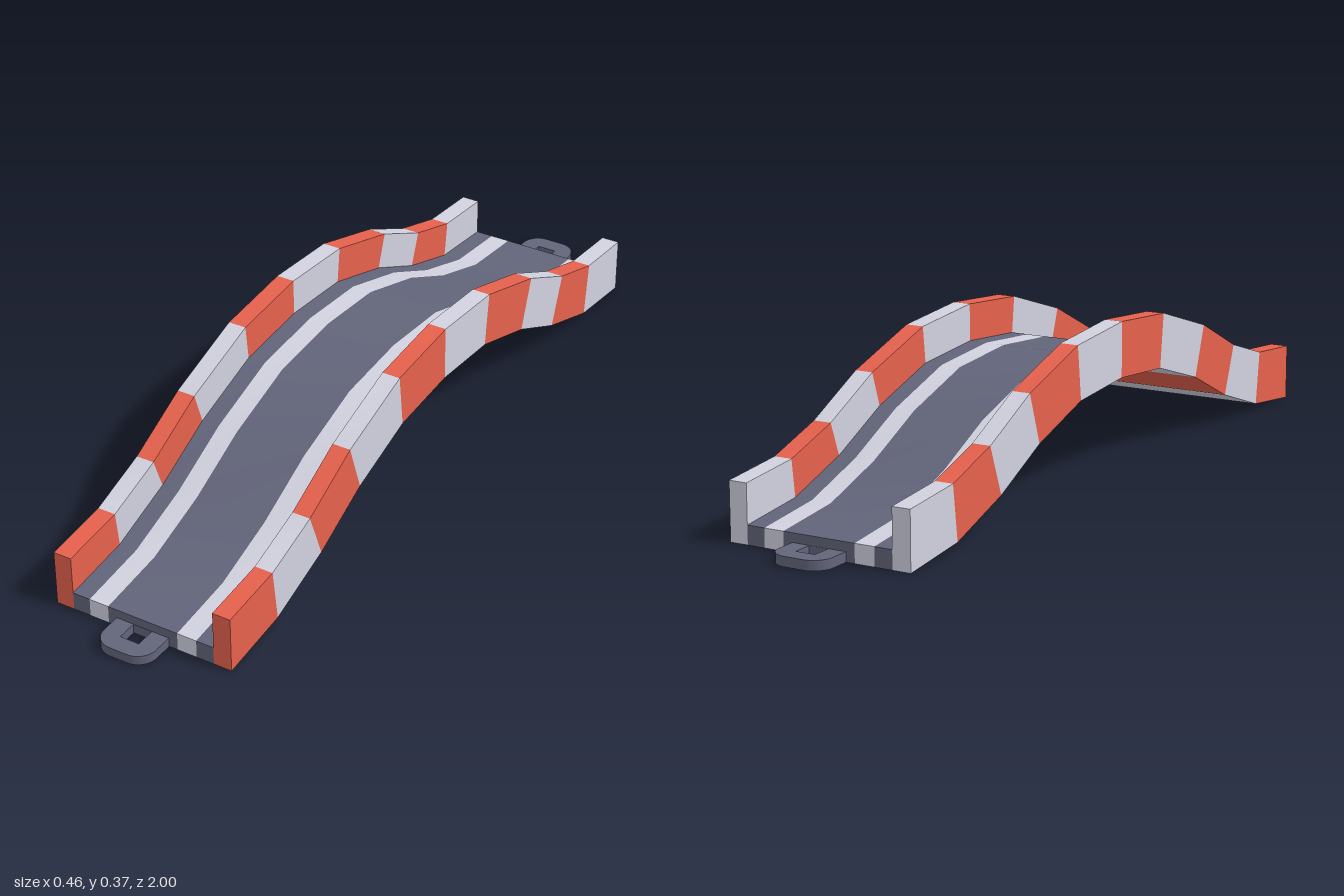
import * as THREE from 'three';
import { toCreasedNormals } from 'three/addons/utils/BufferGeometryUtils.js';

const mat = (name, color) => new THREE.MeshStandardMaterial({ name, color, side: THREE.DoubleSide });

// Half of the arch, end to crown: [bottom z, bottom y, top z, top y]
const HALF = [
  [0.908, 0.0, 0.908, 0.137],
  [0.725, 0.02, 0.742, 0.152],
  [0.545, 0.08, 0.59, 0.2],
  [0.38, 0.158, 0.422, 0.281],
  [0.193, 0.217, 0.208, 0.348],
  [0, 0.232, 0, 0.365],
];
const STATIONS = [
  ...HALF,
  ...HALF.slice(0, -1).reverse().map(([bz, by, tz, ty]) => [-bz, by, -tz, ty]),
];

const OUTER = 0.228, INNER = 0.183, STRIPE_OUT = 0.139, STRIPE_IN = 0.09;
const DECK = 0.325; // deck level as a fraction of the full section height

// Point of the section at station s: x across, f from bottom (0) to top (1)
function pointAt(s, x, f) {
  const [bz, by, tz, ty] = s;
  return [x, by + (ty - by) * f, bz + (tz - bz) * f];
}

// Sweeps an edge a-b along the arch; pick(i) gives the material index of segment i
function sweep(name, a, b, materials, pick) {
  const position = [], index = [];
  const geometry = new THREE.BufferGeometry();
  STATIONS.forEach((s, i) => {
    position.push(...pointAt(s, ...a), ...pointAt(s, ...b));
    if (i === STATIONS.length - 1) return;
    const k = i * 2;
    index.push(k, k + 2, k + 1, k + 1, k + 2, k + 3);
    geometry.addGroup(i * 6, 6, pick(i));
  });
  geometry.setAttribute('position', new THREE.Float32BufferAttribute(position, 3));
  geometry.setIndex(index);
  geometry.computeVertexNormals();
  const mesh = new THREE.Mesh(geometry, materials);
  mesh.name = name;
  return mesh;
}

// Flat end face between x0 and x1, up to section fraction f
function endCap(name, x0, x1, f, material, front) {
  const s = STATIONS[front ? 0 : STATIONS.length - 1];
  const p = [[x0, 0], [x1, 0], [x1, f], [x0, f]].map((q) => pointAt(s, ...q));
  const geometry = new THREE.BufferGeometry();
  geometry.setAttribute('position', new THREE.Float32BufferAttribute(p.flat(), 3));
  geometry.setIndex(front ? [0, 1, 2, 0, 2, 3] : [0, 2, 1, 0, 3, 2]);
  geometry.computeVertexNormals();
  const mesh = new THREE.Mesh(geometry, material);
  mesh.name = name;
  return mesh;
}

// Flat coupling loop with rounded corners and a square hole
function couplingLoop(material) {
  const w = 0.068, r = 0.045, z0 = 0.9, z1 = 1, h = 0.023;
  const shape = new THREE.Shape();
  shape.moveTo(-w, z0);
  shape.lineTo(w, z0);
  shape.lineTo(w, z1 - r);
  shape.absarc(w - r, z1 - r, r, 0, Math.PI / 2);
  shape.absarc(r - w, z1 - r, r, Math.PI / 2, Math.PI);
  shape.closePath();
  const hole = new THREE.Path();
  hole.moveTo(-0.024, 0.909);
  hole.lineTo(-0.024, 0.957);
  hole.lineTo(0.024, 0.957);
  hole.lineTo(0.024, 0.909);
  hole.closePath();
  shape.holes.push(hole);
  const geometry = new THREE.ExtrudeGeometry(shape, { depth: h, bevelEnabled: false, curveSegments: 6 });
  geometry.rotateX(Math.PI / 2).translate(0, h, 0);
  return new THREE.Mesh(toCreasedNormals(geometry, 0.6), material);
}

export function createModel() {
  const red = mat('barrierRed', 0xe6614d);
  const white = mat('paintWhite', 0xd2d2e0);
  const asphalt = mat('asphalt', 0x62647a);
  const model = new THREE.Group();
  model.name = 'bridgeTrack';

  // Red and white bands alternate from the front end
  const bands = [red, white];
  const alternate = (i) => i % 2;

  // Underside spans the full width
  model.add(sweep('underside', [-OUTER, 0], [OUTER, 0], bands, alternate));

  // Barriers, section edges run counter-clockwise seen from the front
  const left = [[OUTER, 0], [OUTER, 1], [INNER, 1], [INNER, DECK]];
  const right = left.map(([x, f]) => [-x, f]).reverse();
  for (const [name, path] of [['leftBarrier', left], ['rightBarrier', right]]) {
    const barrier = new THREE.Group();
    barrier.name = name;
    for (let i = 0; i < 3; i++) {
      barrier.add(sweep(name + 'Face' + i, path[i], path[i + 1], bands, alternate));
    }
    const x0 = name === 'leftBarrier' ? INNER : -OUTER;
    for (const front of [true, false]) {
      barrier.add(endCap('barrierEnd', x0, x0 + OUTER - INNER, 1, front ? red : white, front));
    }
    model.add(barrier);
  }

  // Road deck in lanes from left to right, with its end faces
  const edges = [INNER, STRIPE_OUT, STRIPE_IN, -STRIPE_IN, -STRIPE_OUT, -INNER];
  const deck = new THREE.Group();
  deck.name = 'roadDeck';
  for (let i = 0; i < 5; i++) {
    const material = i % 2 ? white : asphalt;
    const name = i % 2 ? 'laneStripe' : 'roadLane';
    deck.add(sweep(name, [edges[i], DECK], [edges[i + 1], DECK], [material], () => 0));
    for (const front of [true, false]) {
      deck.add(endCap(name + 'End', edges[i + 1], edges[i], DECK, material, front));
    }
  }
  model.add(deck);

  // Coupling loops at both ends
  for (const [name, angle] of [['frontCoupling', 0], ['backCoupling', Math.PI]]) {
    const loop = couplingLoop(asphalt);
    loop.name = name;
    loop.rotation.y = angle;
    model.add(loop);
  }
  return model;
}
